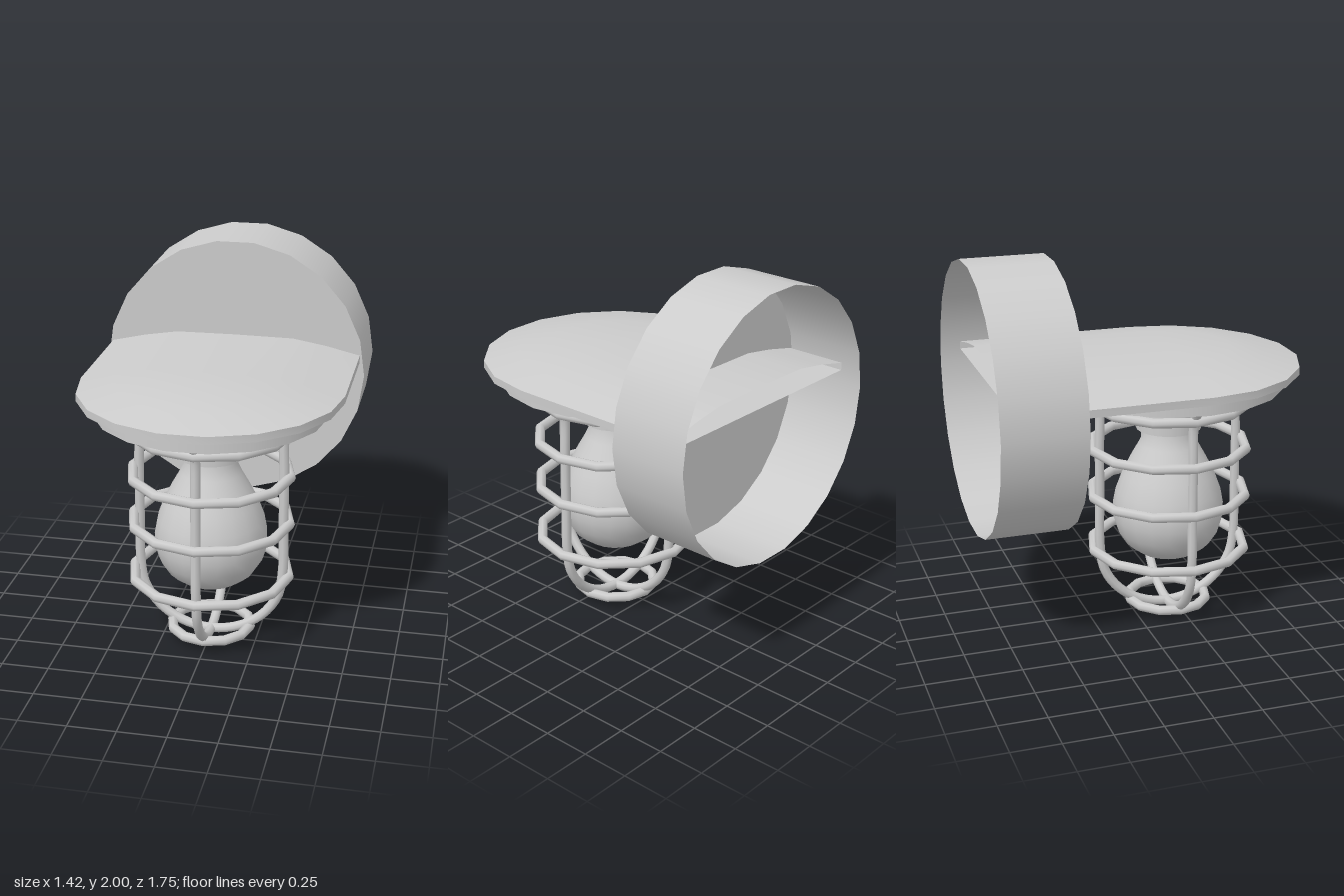
import * as THREE from 'three';
import { toCreasedNormals } from 'three/addons/utils/BufferGeometryUtils.js';

const LAMP_Z = 0.2; // axis of the hanging lamp
const grey = new THREE.MeshStandardMaterial({ color: 0xcccccc });
const greyDouble = new THREE.MeshStandardMaterial({ color: 0xcccccc, side: THREE.DoubleSide });
const points = (list) => list.map(([x, y]) => new THREE.Vector2(x, y));

function add(parent, name, geometry, material = grey) {
  const mesh = new THREE.Mesh(geometry, material);
  mesh.name = name;
  parent.add(mesh);
  return mesh;
}

// Half-round hood: a profile swept along a straight, half circle, straight path; open at the back
function hoodGeometry() {
  const profile = points([[0, 1.37], [0.685, 1.37], [0.685, 1.41], [0.5, 1.453], [0.32, 1.483], [0, 1.486]]);
  const arcSides = 9, stations = arcSides + 2, backZ = -0.77;
  const geometry = new THREE.LatheGeometry(profile, stations);
  const position = geometry.attributes.position;
  for (let s = 0; s <= stations; s++) {
    const step = THREE.MathUtils.clamp(s - 1, 0, arcSides);
    const angle = -Math.PI / 2 + (step / arcSides) * Math.PI;
    const originZ = s === 0 || s === stations ? backZ : LAMP_Z;
    profile.forEach((p, i) => position.setXYZ(s * profile.length + i,
      p.x * Math.sin(angle), p.y, originZ + p.x * Math.cos(angle)));
  }
  return toCreasedNormals(geometry, 0.4);
}

// One cage wire: flared at the top, straight sides, rounded under the bulb
function wireGeometry() {
  const side = [[0.475, 1.28], [0.41, 1.225], [0.385, 1.17], [0.385, 0.95], [0.385, 0.68], [0.385, 0.4]];
  const path = side.map(([x, y]) => new THREE.Vector3(x, y, 0));
  const arcSides = 9;
  for (let i = 1; i < arcSides; i++) {
    const a = (i / arcSides) * Math.PI;
    path.push(new THREE.Vector3(0.385 * Math.cos(a), 0.385 - 0.36 * Math.sin(a), 0));
  }
  side.reverse().forEach(([x, y]) => path.push(new THREE.Vector3(-x, y, 0)));
  return new THREE.TubeGeometry(new THREE.CatmullRomCurve3(path), 72, 0.026, 8, false);
}

export function createModel() {
  const model = new THREE.Group();
  model.name = 'wallLamp';

  // Wall canopy: a shallow drum, closed in front and open toward the wall
  const canopy = new THREE.Group();
  canopy.name = 'wallCanopy';
  canopy.position.set(0, 1.295, 0);
  model.add(canopy);
  const rim = new THREE.CylinderGeometry(0.712, 0.712, 0.435, 22, 1, true, Math.PI / 2);
  rim.rotateX(Math.PI / 2);
  add(canopy, 'canopyRim', rim, greyDouble).position.z = -0.6575;
  add(canopy, 'canopyFace', new THREE.CircleGeometry(0.712, 22), greyDouble).position.z = -0.44;

  add(model, 'hood', hoodGeometry(), greyDouble);

  // Parts that share the lamp axis
  const lamp = new THREE.Group();
  lamp.name = 'lamp';
  lamp.position.z = LAMP_Z;
  model.add(lamp);
  add(lamp, 'mountingPlate', new THREE.CylinderGeometry(0.605, 0.605, 0.08, 18, 1, false, Math.PI / 2)).position.y = 1.33;
  add(lamp, 'socket', new THREE.CylinderGeometry(0.175, 0.175, 0.25, 20)).position.y = 1.165;

  const bulbProfile = points([
    [0, 0.302], [0.08, 0.307], [0.16, 0.338], [0.23, 0.39], [0.275, 0.46], [0.298, 0.54], [0.298, 0.61],
    [0.283, 0.69], [0.25, 0.78], [0.205, 0.87], [0.16, 0.95], [0.138, 1.0], [0.132, 1.05],
  ]);
  add(lamp, 'bulb', new THREE.LatheGeometry(bulbProfile, 20));

  // Cage: rings as [radius, height], and two crossing wires
  const cage = new THREE.Group();
  cage.name = 'cage';
  lamp.add(cage);
  const rings = [[0.478, 1.275], [0.418, 1.195], [0.418, 0.945], [0.418, 0.68], [0.418, 0.375], [0.213, 0.058]];
  for (const [radius, height] of rings) {
    const ring = new THREE.TorusGeometry(radius, 0.027, 8, 12);
    ring.rotateX(Math.PI / 2);
    add(cage, 'cageRing', ring).position.y = height;
  }
  const wire = wireGeometry();
  for (const turn of [0, Math.PI / 2]) add(cage, 'cageWire', wire).rotation.y = turn;

  return model;
}
